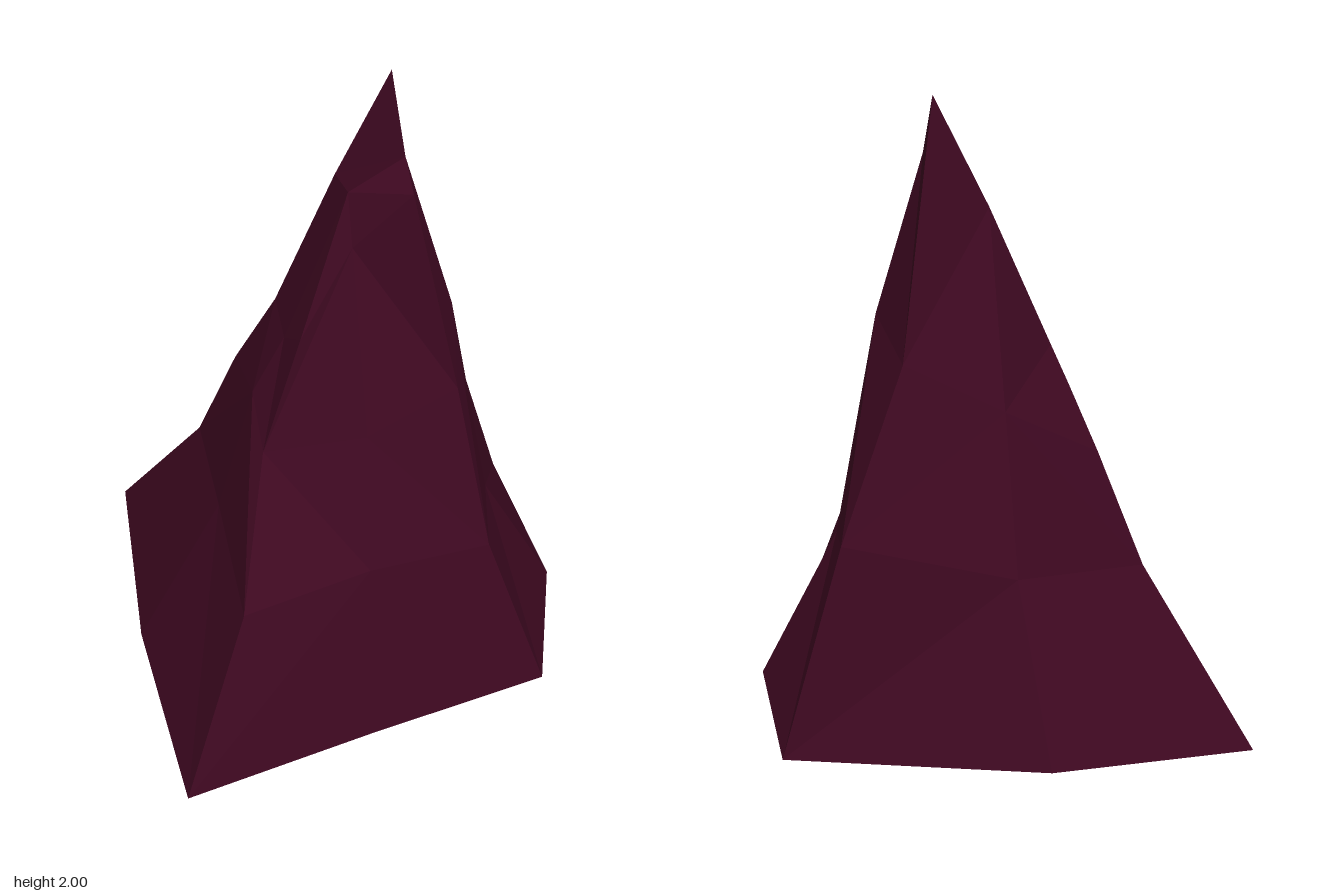
import * as THREE from 'three';

// Each ring runs: front-left corner, front, front-right corner, right,
// back-right corner, back, back-left corner, left (as seen facing the front).
const baseRing = [
  [-0.685, 0, 0.85], [-0.05, 0.03, 0.725], [0.575, 0.015, 0.58], [0.75, 0.03, 0.08],
  [0.735, 0.035, -0.58], [-0.05, 0.05, -0.85], [-0.725, 0.005, -0.745], [-0.75, 0.01, 0.08],
];
const lowerRing = [
  [-0.45, 0.53, 0.62], [-0.03, 0.59, 0.56], [0.39, 0.55, 0.47], [0.48, 0.51, 0.115],
  [0.53, 0.68, -0.485], [0, 0.57, -0.585], [-0.45, 0.52, -0.41], [-0.45, 0.55, 0.08],
];
const upperRing = [
  [-0.32, 0.895, 0.27], [0, 0.97, 0.36], [0.31, 1.07, 0.295], [0.335, 1.27, 0.1],
  [0.31, 1.2, -0.33], [0, 1.05, -0.39], [-0.32, 0.88, -0.31], [-0.32, 1.0, 0.08],
];
const rimRing = [
  [-0.18, 1.26, 0.2], [0, 1.53, 0.13], [0.18, 1.72, 0.175], [0.175, 1.8, 0.08],
  [0.175, 2, -0.115], [0, 1.65, -0.135], [-0.2, 1.2, -0.15], [-0.21, 1.19, 0.07],
];
const topCentre = [0, 1.69, 0.065];
const baseCentre = [0, 0.025, 0];
const PEAK = 4; // ring index of the tallest corner

// Fold direction of each facet pair, per band from the bottom:
// '/' rises to the right, '\' rises to the left, seen from outside
const folds = ['/\\/\\/\\/\\', '\\\\/\\/\\/\\', '/\\/\\//\\\\'];

// Skins the rings from bottom to top and closes both ends
function loftRock(rings, bottom, top) {
  const positions = [];
  const triangle = (a, b, c) => positions.push(...a, ...b, ...c);
  const n = rings[0].length;
  const last = rings.length - 1;
  const rim = rings[last];
  for (let i = 0; i < n; i++) {
    const j = (i + 1) % n;
    for (let k = 0; k < last; k++) {
      const lo = rings[k], hi = rings[k + 1];
      if (folds[k][i] === '/') {
        triangle(lo[i], lo[j], hi[j]);
        triangle(lo[i], hi[j], hi[i]);
      } else {
        triangle(lo[i], lo[j], hi[i]);
        triangle(lo[j], hi[j], hi[i]);
      }
    }
    triangle(bottom, rings[0][j], rings[0][i]);
  }
  // Broken top: one quad per corner, with the peak folded off as its own facet
  for (let i = 0; i < n; i += 2) {
    const before = rim[(i + n - 1) % n], corner = rim[i], after = rim[i + 1];
    if (i === PEAK) {
      triangle(top, before, after);
      triangle(before, corner, after);
    } else {
      triangle(top, before, corner);
      triangle(top, corner, after);
    }
  }
  const geometry = new THREE.BufferGeometry();
  geometry.setAttribute('position', new THREE.Float32BufferAttribute(positions, 3));
  geometry.computeVertexNormals();
  return geometry;
}

export function createModel() {
  const group = new THREE.Group();
  group.name = 'rockSpire';

  const darkMaroon = new THREE.MeshStandardMaterial({ color: 0x3d0820, flatShading: true });
  darkMaroon.name = 'dark maroon stone';

  // Faceted rock with a slanted, broken top
  const rock = new THREE.Mesh(
    loftRock([baseRing, lowerRing, upperRing, rimRing], baseCentre, topCentre),
    darkMaroon
  );
  rock.name = 'rock';
  group.add(rock);
  return group;
}
